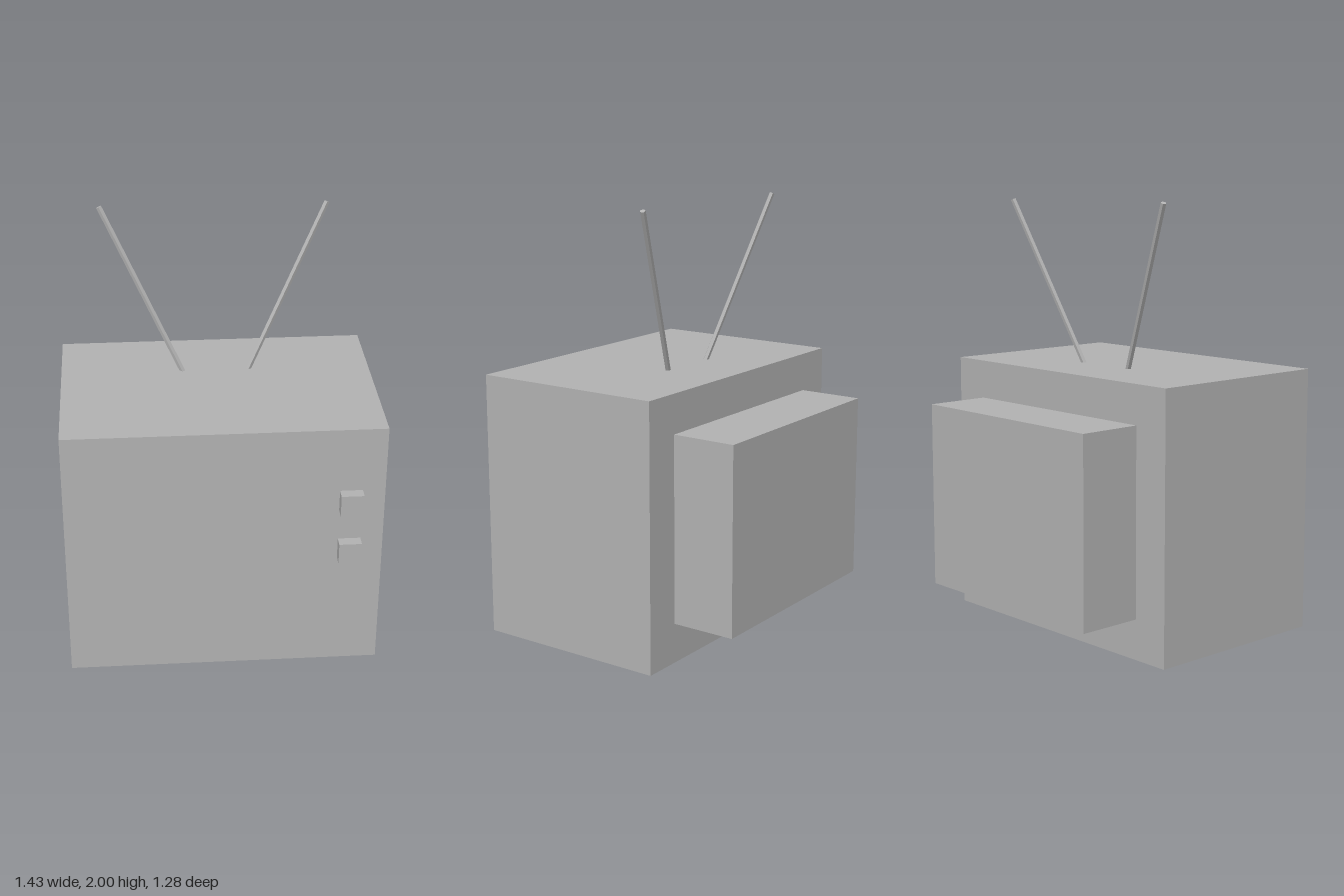
import * as THREE from 'three';

export function createModel() {
  const model = new THREE.Group();
  model.name = 'television';
  const grey = new THREE.MeshStandardMaterial({ color: 0xb2b2b2, flatShading: true, side: THREE.DoubleSide });
  grey.name = 'plain grey';

  // Box given by its lower and upper corners
  function box(name, [x0, y0, z0], [x1, y1, z1]) {
    const geometry = new THREE.BoxGeometry(x1 - x0, y1 - y0, z1 - z0);
    const mesh = new THREE.Mesh(geometry, grey);
    mesh.position.set((x0 + x1) / 2, (y0 + y1) / 2, (z0 + z1) / 2);
    mesh.name = name;
    model.add(mesh);
    return mesh;
  }

  // Cabinet: hollow shell, open underneath (the -y face is dropped)
  const cabinet = box('cabinet', [-0.713, 0, -0.333], [0.713, 1.23, 0.587]);
  const index = Array.from(cabinet.geometry.index.array);
  index.splice(18, 6);
  cabinet.geometry.setIndex(index);
  cabinet.geometry.clearGroups();

  // Picture tube housing on the back
  box('rearHousing', [-0.535, 0.185, -0.638], [0.535, 1.05, -0.333]);

  // Two square control knobs
  [['upperKnob', 0.82], ['lowerKnob', 0.567]].forEach(([name, y]) =>
    box(name, [0.51, y, 0.587], [0.612, y + 0.102, 0.638]));

  // Mirrored pair of thin antennas, splayed out and leaning back
  [[1, 'leftAntenna'], [-1, 'rightAntenna']].forEach(([side, name]) => {
    const start = new THREE.Vector3(side * 0.15, 1.222, -0.022);
    const end = new THREE.Vector3(side * 0.512, 1.994, -0.154);
    const direction = end.clone().sub(start);
    const rod = new THREE.Mesh(new THREE.CylinderGeometry(0.013, 0.013, direction.length(), 5), grey);
    rod.position.copy(start).add(end).multiplyScalar(0.5);
    rod.quaternion.setFromUnitVectors(new THREE.Vector3(0, 1, 0), direction.normalize());
    rod.name = name;
    model.add(rod);
  });

  return model;
}
